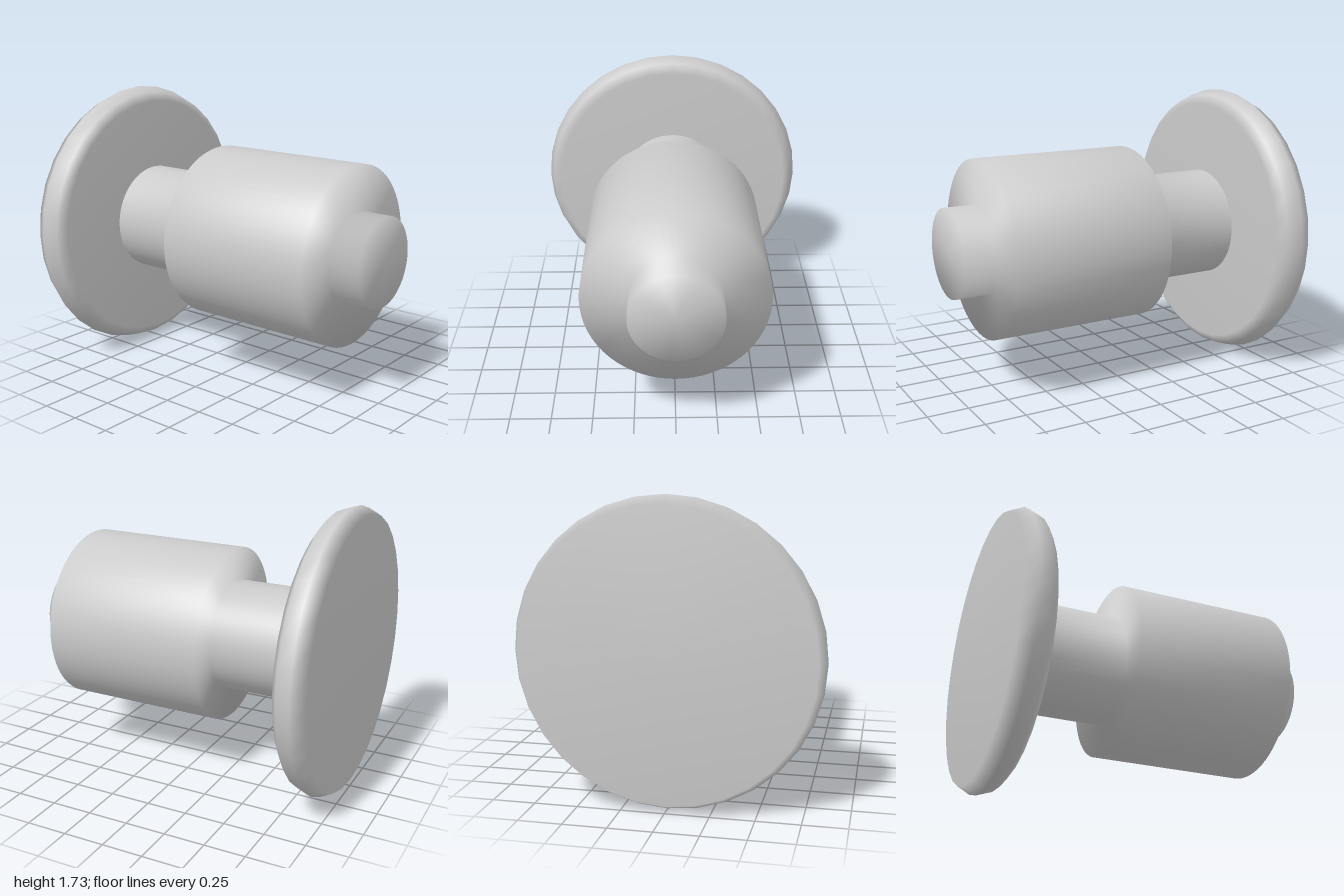
import * as THREE from 'three';

const RIM = 0.866; // largest radius, also the height of the axis

// Smooth solid of revolution about the x axis; points are [radius, x]
function turned(name, points, sides, material) {
  const profile = points.map(([r, x]) => new THREE.Vector2(r, x));
  const geometry = new THREE.LatheGeometry(profile, sides);
  geometry.rotateZ(-Math.PI / 2);
  const mesh = new THREE.Mesh(geometry, material);
  mesh.name = name;
  mesh.position.y = RIM;
  return mesh;
}

export function createModel() {
  const group = new THREE.Group();
  group.name = 'flangedKnob';
  const material = new THREE.MeshStandardMaterial({ color: 0xcccccc });

  // Wide disc with a rounded rim
  group.add(turned('flangeDisc', [
    [0, -1], [0.825, -1], [RIM, -0.92], [0.835, -0.83], [0.78, -0.79], [0, -0.79],
  ], 32, material));

  // Neck, thick barrel and end stub in one smooth turned piece
  group.add(turned('steppedShaft', [
    [0.34, -0.8], [0.34, -0.2], [0.54, -0.2], [0.54, 0.8],
    [0.27, 0.8], [0.27, 1], [0, 1],
  ], 64, material));

  return group;
}
